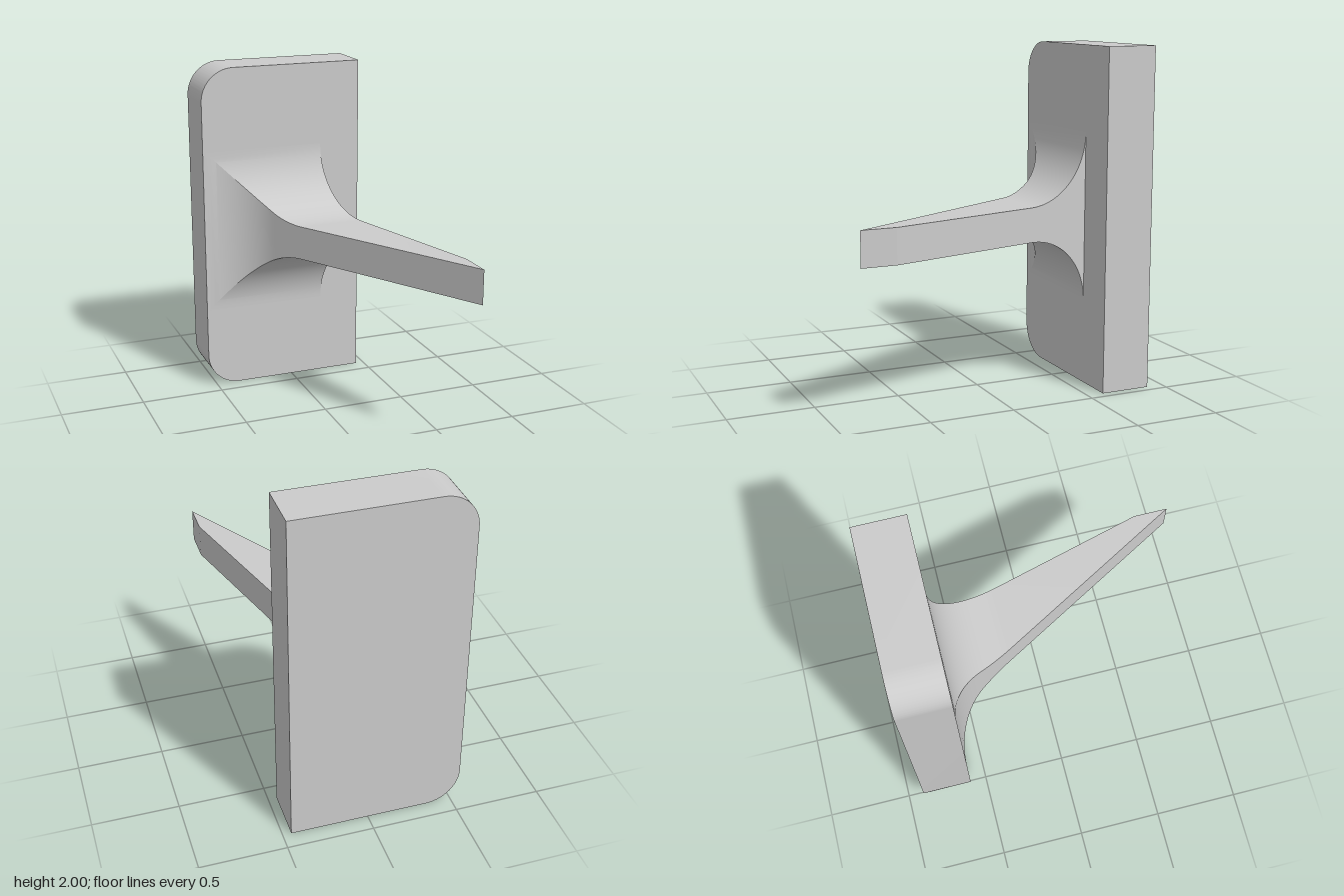
import * as THREE from 'three';
import { toCreasedNormals } from 'three/addons/utils/BufferGeometryUtils.js';

const material = new THREE.MeshStandardMaterial({ color: 0xcccccc });

// Upright plate, two corners rounded on the -x side
function createPlate() {
  const r = 0.2, left = -0.55, right = 0.45, height = 2;
  const shape = new THREE.Shape();
  shape.moveTo(right, 0);
  shape.lineTo(right, height);
  shape.lineTo(left + r, height);
  shape.absarc(left + r, height - r, r, Math.PI / 2, Math.PI, false);
  shape.lineTo(left, r);
  shape.absarc(left + r, r, r, Math.PI, Math.PI * 1.5, false);
  shape.closePath();
  const geometry = new THREE.ExtrudeGeometry(shape, { depth: 0.3, bevelEnabled: false, curveSegments: 24 });
  geometry.translate(0, 0, -0.9);
  return new THREE.Mesh(toCreasedNormals(geometry, 0.4), material);
}

// Slanted arm: rectangular sections along z, flared into the plate by fillets
function createArm() {
  const R = 0.4, wall = -0.6, thickness = 0.1;
  const tip = { x: 0.55, z: 0.9 }, footX = -0.3;
  const angle = Math.atan2(tip.z - wall, tip.x - footX);
  const filletX = footX - R * Math.tan(angle / 2);
  const slantX = (z) => footX + ((z - wall) * (tip.x - footX)) / (tip.z - wall);
  const rightX = (z) => Math.min(tip.x, 0.2 + ((z - wall) * 0.35) / 1.3);

  // Each section: left x, right x, half height, z
  const sections = [];
  const addFillet = (t) => {
    const z = wall + R * (1 - Math.cos(t));
    const xl = t <= angle ? filletX + R * Math.sin(t) : slantX(z);
    sections.push([xl, rightX(z), thickness + R * (1 - Math.sin(t)), z]);
  };
  for (let i = 0; i <= 20; i++) addFillet((angle * i) / 20);
  for (let i = 1; i <= 10; i++) addFillet(angle + ((Math.PI / 2 - angle) * i) / 10);
  for (const z of [0.7, tip.z]) sections.push([slantX(z), rightX(z), thickness, z]);

  const positions = [];
  const corners = ([xl, xr, h, z]) => [[xl, 1 + h, z], [xr, 1 + h, z], [xr, 1 - h, z], [xl, 1 - h, z]];
  for (let i = 0; i < sections.length - 1; i++) {
    const back = corners(sections[i]), front = corners(sections[i + 1]);
    const last = i === sections.length - 2;
    for (let j = 0; j < 4; j++) {
      const k = (j + 1) % 4;
      // The tip narrows to a vertical edge, so top and bottom end in triangles
      if (!(last && j % 2 === 0)) positions.push(...front[j], ...front[k], ...back[k]);
      positions.push(...front[j], ...back[k], ...back[j]);
    }
  }
  const geometry = new THREE.BufferGeometry();
  geometry.setAttribute('position', new THREE.Float32BufferAttribute(positions, 3));
  return new THREE.Mesh(toCreasedNormals(geometry, 0.2), material);
}

export function createModel() {
  const model = new THREE.Group();
  model.name = 'wallHook';
  const plate = createPlate();
  plate.name = 'plate';
  const arm = createArm();
  arm.name = 'arm';
  model.add(plate, arm);
  return model;
}
